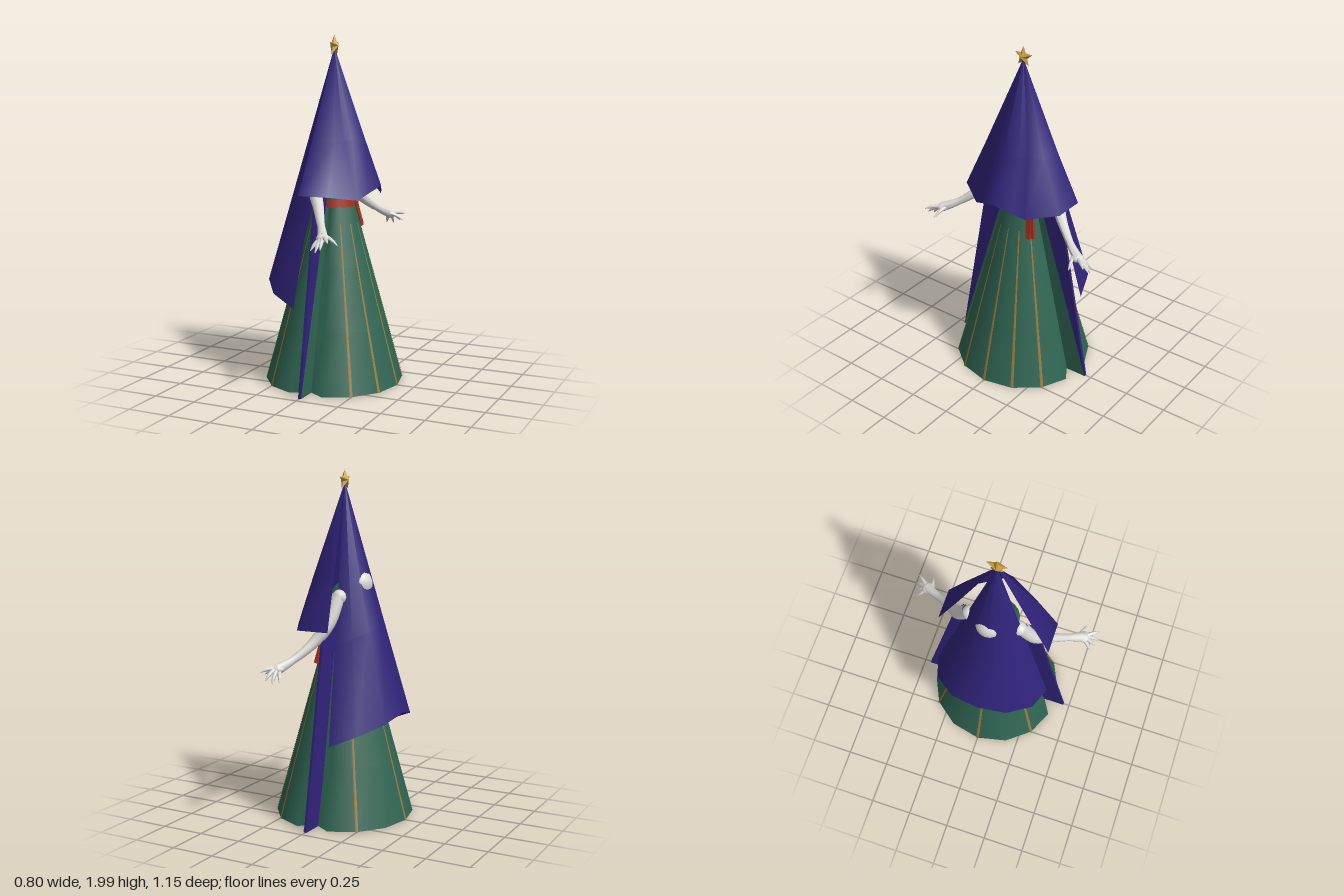
import * as THREE from 'three';

const mat = (name, color, side = THREE.FrontSide) => {
  const m = new THREE.MeshStandardMaterial({ color, side });
  m.name = name;
  return m;
};

// Smooth sheet through rows of [x, y, z] points
function loft(rows, closed = false) {
  const n = rows[0].length, idx = [];
  for (let r = 0; r < rows.length - 1; r++)
    for (let i = 0; i < (closed ? n : n - 1); i++) {
      const j = (i + 1) % n, a = r * n + i, b = r * n + j, c = a + n, d = b + n;
      idx.push(a, b, d, a, d, c);
    }
  const g = new THREE.BufferGeometry();
  g.setAttribute('position', new THREE.Float32BufferAttribute(rows.flat(2), 3));
  g.setIndex(idx);
  g.computeVertexNormals();
  return g;
}

// Round limb whose radius changes along its path
function limb(points, radii, sides = 10) {
  const curve = new THREE.CatmullRomCurve3(points.map(p => new THREE.Vector3(...p)));
  const seg = (points.length - 1) * 4;
  const g = new THREE.TubeGeometry(curve, seg, 1, sides);
  const p = g.attributes.position, v = new THREE.Vector3();
  for (let i = 0; i <= seg; i++) {
    const c = curve.getPointAt(i / seg), t = (i / seg) * (radii.length - 1);
    const k = Math.min(Math.floor(t), radii.length - 2);
    const r = THREE.MathUtils.lerp(radii[k], radii[k + 1], t - k);
    for (let j = 0; j <= sides; j++) {
      const q = i * (sides + 1) + j;
      v.fromBufferAttribute(p, q).sub(c).multiplyScalar(r).add(c);
      p.setXYZ(q, v.x, v.y, v.z);
    }
  }
  g.computeVertexNormals();
  return g;
}

// Full row from half a row running from the middle (z = 0) to the +z edge
const mirrorRow = half => [
  ...half.slice(1).reverse().map(([x, y, z]) => [x, y, -z]), ...half];

export function createModel() {
  const model = new THREE.Group();
  const D = THREE.DoubleSide;
  const purple = mat('purple cloth', 0x30237a, D);
  const green = mat('green cloth', 0x2f6552, D);
  const trim = mat('gold trim', 0x98793a, D);
  const gold = mat('star gold', 0xc49a3c);
  const red = mat('red sash', 0xa5311f);
  const pale = mat('pale skin', 0xdcdad6);
  const add = (name, geo, material, parent = model) => {
    const m = new THREE.Mesh(geo, material);
    m.name = name;
    parent.add(m);
    return m;
  };

  // Skirt: a wide cone with a pleat at each side
  const half = [[0.4, 0], [0.36, 0.18], [0.25, 0.32], [0.1, 0.39], [0, 0.33],
    [-0.1, 0.39], [-0.25, 0.32], [-0.36, 0.18], [-0.4, 0]];
  const hem = [...half, ...half.slice(1, -1).reverse().map(([x, z]) => [x, -z])];
  const taper = y => 1 - 0.715 * y / 1.05;
  const ring = (pts, y, s = 1) => pts.map(([x, z]) => [x * taper(y) * s, y, z * taper(y) * s]);
  add('skirt', loft([1.05, 0.7, 0.35, 0.01].map(y => ring(hem, y)), true), green);

  // Gold seams folded over the skirt ridges, outside and inside
  const toward = (a, b, d) => {
    const t = d / Math.hypot(b[0] - a[0], b[1] - a[1]);
    return [a[0] + (b[0] - a[0]) * t, a[1] + (b[1] - a[1]) * t];
  };
  const n = hem.length;
  for (const i of [0, 1, 2, 6, 8, 10, 14, 15]) {
    const p = hem[i];
    const strip = [toward(p, hem[(i + n - 1) % n], 0.009), p, toward(p, hem[(i + 1) % n], 0.009)];
    for (const s of [1.008, 0.992])
      add('skirtSeam', loft([ring(strip, 0.94, s), ring(strip, 0.01, s)]), trim);
  }

  // Bodice, neck and head under the veil
  const bodice = add('bodice', new THREE.LatheGeometry(
    [[0.115, 1.0], [0.105, 1.06], [0.125, 1.18], [0.13, 1.28], [0.05, 1.36]]
      .map(p => new THREE.Vector2(...p)), 20), green);
  bodice.scale.x = 0.8;
  add('neck', new THREE.CylinderGeometry(0.035, 0.04, 0.14, 12), pale).position.set(-0.02, 1.38, 0);
  add('head', new THREE.SphereGeometry(0.085, 20, 14), pale).position.set(-0.088, 1.36, -0.01);

  // Sash with a knot and two hanging tails
  add('sash', new THREE.CylinderGeometry(0.113, 0.12, 0.045, 20), red).position.set(0, 1.055, 0);
  add('sashKnot', new THREE.BoxGeometry(0.035, 0.045, 0.04), red).position.set(0.085, 1.05, -0.095);
  [[-0.112, 0.14, 0.15], [-0.13, 0.13, 0.2]].forEach(([z, len, tilt], i) => {
    const t = add('sashTail', new THREE.BoxGeometry(0.014, len, 0.03), red);
    t.position.set(0.105 - i * 0.008, 0.97, z);
    t.rotation.set(tilt, 0, 0.2);
  });

  // Long hanging sleeves with a green lining flap
  const sleeveShape = new THREE.Shape(
    [[0.09, 1.25], [0.2, 1.25], [0.262, 1.08], [0.463, 0.01], [0.32, 0.01]]
      .map(p => new THREE.Vector2(...p)));
  for (const s of [1, -1]) {
    const side = new THREE.Group();
    side.name = s > 0 ? 'frontSide' : 'rearSide';
    model.add(side);
    const g = new THREE.ExtrudeGeometry(sleeveShape, { depth: 0.016, bevelEnabled: false });
    g.rotateY(-Math.PI / 2).translate(0.008, 0, 0);
    if (s < 0) g.scale(1, 1, -1);
    add('hangingSleeve', g, purple, side);
    const m = pts => pts.map(([x, y, z]) => [x, y, z * s]);
    const rows = [m([[0.011, 1.04, 0.09], [0.011, 1.04, 0.14]]),
      m([[0.011, 0.01, 0.32], [0.011, 0.01, 0.463]])];
    if (s < 0) rows.reverse();
    add('sleeveLining', loft(rows), green, side);

    // Arm, palm and five fingers
    add('arm', limb(m([[-0.04, 1.3, 0.15], [-0.02, 1.16, 0.22], [0.03, 1.065, 0.28],
      [0.085, 0.99, 0.365], [0.125, 0.95, 0.43], [0.155, 0.925, 0.485]]),
      [0.042, 0.038, 0.037, 0.028, 0.021, 0.03]), pale, side);
    const palm = add('palm', new THREE.SphereGeometry(0.034, 14, 10), pale, side);
    palm.position.set(0.153, 0.926, 0.48 * s);
    palm.scale.set(1.05, 0.65, 1.05);
    add('shoulder', new THREE.SphereGeometry(0.043, 14, 10), pale, side)
      .position.set(-0.045, 1.295, 0.145 * s);
    const fingers = [[[0.15, 0.935, 0.455], [0.24, 0.89, 0.48]], [[0.17, 0.93, 0.5], [0.22, 0.915, 0.563]],
      [[0.163, 0.925, 0.505], [0.18, 0.875, 0.572]], [[0.15, 0.92, 0.505], [0.145, 0.857, 0.56]],
      [[0.14, 0.92, 0.49], [0.108, 0.862, 0.54]]];
    for (const [a, b] of fingers) {
      const mid = a.map((v, k) => (v + b[k]) / 2 + (k === 1 ? 0.006 : 0));
      add('finger', limb(m([a, mid, b]), [0.014, 0.011, 0.009, 0.002], 8), pale, side);
    }
  }

  // Short veil, pleated, falling from the peak
  const peak = 1.925;
  const top = k => Array.from({ length: k }, (_, i) => {
    const a = (i / (k - 1) - 0.5) * Math.PI;
    return [0.002 * Math.cos(a), peak, 0.002 * Math.sin(a)];
  });
  add('shortVeil', loft([top(9),
    mirrorRow([[0.19, 1.42, 0], [0.15, 1.42, 0.085], [0.11, 1.41, 0.11], [0.085, 1.41, 0.2], [-0.042, 1.41, 0.205]]),
    mirrorRow([[0.29, 1.16, 0], [0.25, 1.12, 0.1], [0.22, 1.09, 0.17], [0.11, 1.12, 0.328], [-0.07, 1.12, 0.328]])]),
    purple);

  // Long veil on the other side
  const longHem = [[-0.373, 0.64, 0], [-0.34, 0.6, 0.17], [-0.24, 0.55, 0.305], [-0.09, 0.485, 0.353]];
  const longMid = longHem.map(([x, y, z]) => [x * 0.62, peak + (y - peak) * 0.62, z * 0.62]);
  const topLong = top(7).map(([x, y, z]) => [-x, y, z]);
  add('longVeil', loft([mirrorRow(longHem), mirrorRow(longMid), topLong]), purple);

  // Faceted five-pointed star on the peak
  const outline = Array.from({ length: 10 }, (_, i) => {
    const a = i * Math.PI / 5, r = i % 2 ? 0.027 : 0.06;
    return [0, Math.cos(a) * r, Math.sin(a) * r];
  });
  const tri = [];
  outline.forEach((p, i) => {
    const q = outline[(i + 1) % 10];
    tri.push(...p, ...q, 0.025, 0, 0, ...q, ...p, -0.025, 0, 0);
  });
  const star = new THREE.BufferGeometry();
  star.setAttribute('position', new THREE.Float32BufferAttribute(tri, 3));
  star.computeVertexNormals();
  add('star', star, gold).position.y = 1.94;

  return model;
}
